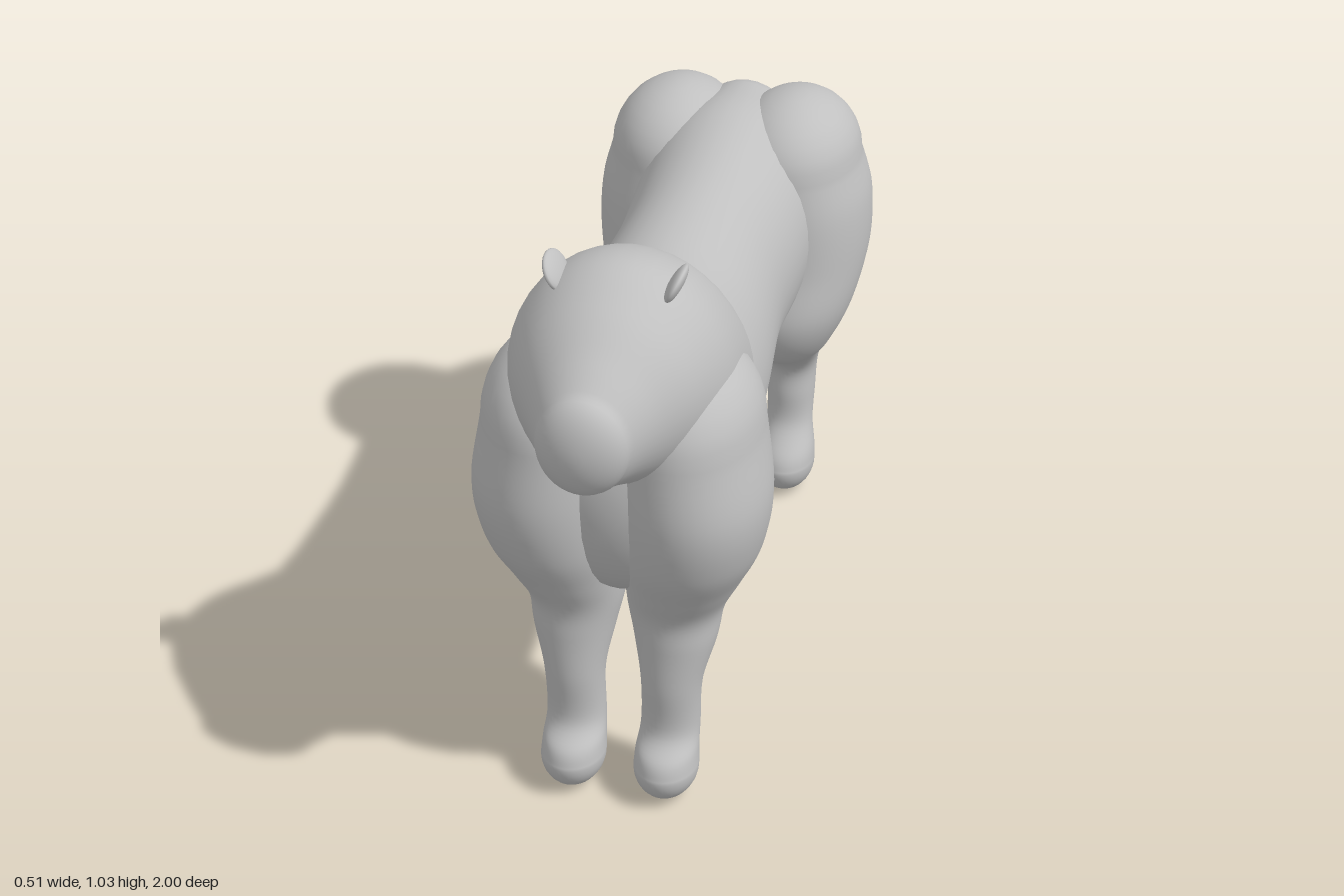
import * as THREE from 'three';
import { mergeVertices } from 'three/addons/utils/BufferGeometryUtils.js';

const coat = new THREE.MeshStandardMaterial({ color: 0xc0c0c0 });
coat.name = 'grey coat';

// Smooth loft of elliptical rings with rounded ends.
// Rows ascend along the axis: [along, centreX, centreOther, radiusX, radiusOther]
function loft(name, axis, rows, capStart, capEnd, sides = 40) {
  const spline = (f) => new THREE.CatmullRomCurve3(rows.map(f), false, 'catmullrom');
  const centre = spline((r) => new THREE.Vector3(r[0], r[1], r[2]));
  const radius = spline((r) => new THREE.Vector3(r[3], r[4], 0));
  const steps = (rows.length - 1) * 6, rings = [];
  for (let i = 0; i <= steps; i++) {
    const c = centre.getPoint(i / steps), r = radius.getPoint(i / steps);
    rings.push([c.x, c.y, c.z, r.x, r.y]);
  }
  const first = rings[0], last = rings[steps];
  for (let k = 1; k <= 8; k++) {
    const a = (k / 8) * Math.PI / 2, s = Math.sin(a), c = k === 8 ? 0 : Math.cos(a);
    rings.unshift([first[0] - capStart * s, first[1], first[2], first[3] * c, first[4] * c]);
    rings.push([last[0] + capEnd * s, last[1], last[2], last[3] * c, last[4] * c]);
  }
  const pos = [], index = [];
  rings.forEach(([t, cx, co, rx, ro], j) => {
    for (let i = 0; i < sides; i++) {
      const a = (i / sides) * Math.PI * 2;
      const x = cx + rx * Math.cos(a), o = ro * Math.sin(a);
      if (axis === 'z') pos.push(x, co + o, t);
      else pos.push(x, t, co - o);
      if (j === rings.length - 1) continue;
      const p = j * sides + i, q = j * sides + (i + 1) % sides;
      index.push(p, q, p + sides, q, q + sides, p + sides);
    }
  });
  let geo = new THREE.BufferGeometry();
  geo.setAttribute('position', new THREE.Float32BufferAttribute(pos, 3));
  geo.setIndex(index);
  geo = mergeVertices(geo, 1e-5);
  geo.computeVertexNormals();
  const mesh = new THREE.Mesh(geo, coat);
  mesh.name = name;
  return mesh;
}

export function createModel() {
  const model = new THREE.Group();
  model.name = 'bigCat';

  // Body, head with neck, and tail
  model.add(loft('torso', 'z', [
    [-0.2, 0, 0.67, 0.13, 0.205],
    [-0.08, 0, 0.67, 0.17, 0.217],
    [0.05, 0, 0.662, 0.165, 0.208],
    [0.2, 0, 0.658, 0.16, 0.208],
    [0.4, 0, 0.64, 0.178, 0.23],
    [0.55, 0, 0.642, 0.185, 0.246],
    [0.7, 0, 0.62, 0.17, 0.235],
  ], 0.09, 0.14));
  model.add(loft('head', 'z', [
    [0.45, 0, 0.68, 0.15, 0.19],
    [0.52, 0, 0.71, 0.178, 0.2],
    [0.61, 0, 0.765, 0.188, 0.22],
    [0.72, 0, 0.8, 0.187, 0.22],
    [0.82, 0, 0.824, 0.155, 0.167],
    [0.9, 0, 0.822, 0.108, 0.118],
    [0.95, 0, 0.815, 0.077, 0.088],
  ], 0.05, 0.05));
  model.add(loft('tail', 'z', [
    [-0.97, 0, 0.443, 0.024, 0.023],
    [-0.77, 0, 0.443, 0.031, 0.038],
    [-0.61, 0, 0.49, 0.037, 0.05],
    [-0.45, 0, 0.577, 0.045, 0.063],
    [-0.31, 0, 0.71, 0.065, 0.08],
    [-0.2, 0, 0.76, 0.08, 0.08],
  ], 0.03, 0.05, 24));

  for (const [side, s] of [['left', 1], ['right', -1]]) {
    // Shoulder running down into the front paw
    model.add(loft(side + 'FrontLeg', 'y', [
      [0.06, 0.082 * s, 0.766, 0.056, 0.068],
      [0.09, 0.082 * s, 0.757, 0.054, 0.065],
      [0.13, 0.083 * s, 0.735, 0.051, 0.05],
      [0.22, 0.085 * s, 0.733, 0.053, 0.053],
      [0.3, 0.088 * s, 0.712, 0.071, 0.072],
      [0.36, 0.087 * s, 0.7, 0.083, 0.086],
      [0.42, 0.1 * s, 0.698, 0.1, 0.117],
      [0.5, 0.117 * s, 0.71, 0.119, 0.145],
      [0.6, 0.124 * s, 0.715, 0.127, 0.16],
      [0.72, 0.113 * s, 0.7, 0.122, 0.165],
    ], 0.06, 0.14));
    // Thigh, hock and hind paw
    model.add(loft(side + 'HindLeg', 'y', [
      [0.06, 0.085 * s, -0.203, 0.055, 0.071],
      [0.09, 0.085 * s, -0.21, 0.053, 0.064],
      [0.14, 0.085 * s, -0.232, 0.045, 0.041],
      [0.2, 0.085 * s, -0.245, 0.046, 0.045],
      [0.26, 0.085 * s, -0.248, 0.049, 0.048],
      [0.31, 0.088 * s, -0.22, 0.058, 0.072],
      [0.36, 0.092 * s, -0.16, 0.072, 0.095],
      [0.42, 0.1 * s, -0.088, 0.09, 0.108],
      [0.5, 0.112 * s, -0.09, 0.115, 0.143],
      [0.6, 0.122 * s, -0.125, 0.128, 0.16],
      [0.7, 0.122 * s, -0.138, 0.128, 0.163],
      [0.78, 0.11 * s, -0.138, 0.12, 0.153],
    ], 0.06, 0.115));
    // Small upright ear
    const ear = new THREE.Mesh(new THREE.SphereGeometry(1, 24, 16), coat);
    ear.name = side + 'Ear';
    ear.scale.set(0.011, 0.034, 0.042);
    ear.position.set(0.098 * s, 0.995, 0.735);
    ear.rotation.z = -0.5 * s;
    model.add(ear);
  }
  return model;
}
